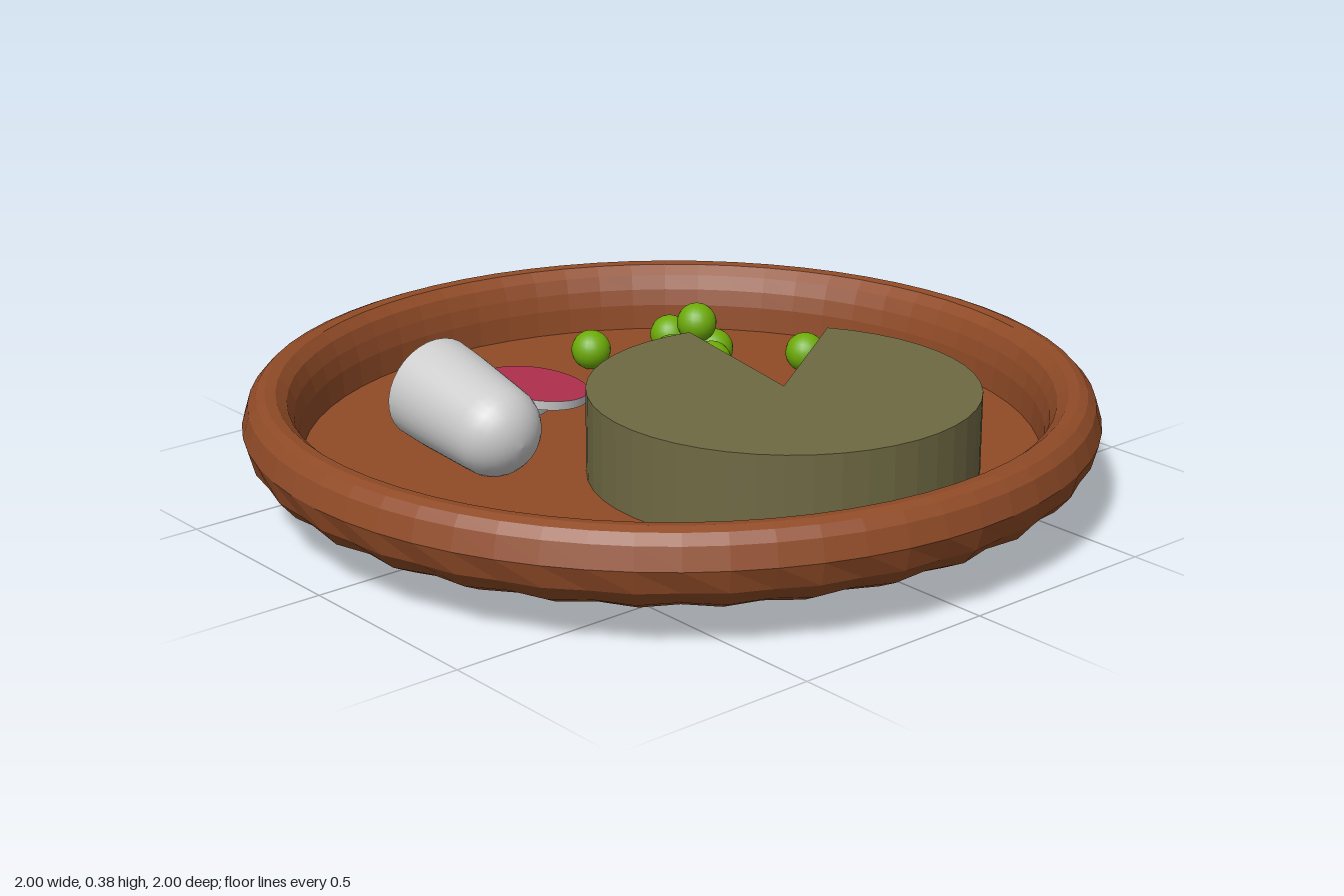
import * as THREE from 'three';

const FLOOR = 0.117;
const paint = (color, extra = {}) => new THREE.MeshStandardMaterial({ color, ...extra });
const v2 = (pairs) => pairs.map(([x, y]) => new THREE.Vector2(x, y));

function add(parent, name, geometry, material, x = 0, y = 0, z = 0) {
  const mesh = new THREE.Mesh(geometry, material);
  mesh.name = name;
  mesh.position.set(x, y, z);
  parent.add(mesh);
  return mesh;
}

// Round plate: plain rim and floor, with a gently fluted underside
function plateGeometry() {
  const segments = 64;
  const profile = v2([
    [0, 0], [0.3, 0.015], [0.6, 0.03], [0.8, 0.05], [0.89, 0.075], [0.95, 0.105], [0.985, 0.145],
    [1, 0.2], [0.985, 0.25], [0.965, 0.272], [0.945, 0.28], [0.92, 0.277],
    [0.895, 0.255], [0.88, 0.22], [0.87, 0.18], [0.865, FLOOR], [0, FLOOR],
  ]);
  const flute = [0, 0, 0.004, 0.015, 0.022, 0.02, 0.008]; // depth per lower ring
  const geometry = new THREE.LatheGeometry(profile, segments);
  const pos = geometry.attributes.position;
  for (let i = 0; i < pos.count; i++) {
    const depth = flute[i % profile.length];
    const column = Math.floor(i / profile.length);
    // every other column of the lower rings is drawn inward
    if (depth && column % 2) {
      pos.setX(i, pos.getX(i) * (1 - depth));
      pos.setZ(i, pos.getZ(i) * (1 - depth));
    }
  }
  geometry.computeVertexNormals();
  return geometry;
}

// Wheel of cheese with one wedge taken out
function cheeseWheel() {
  const cheese = new THREE.Group();
  cheese.name = 'cheeseWheel';
  const radius = 0.45, top = 0.32, height = top - FLOOR + 0.005;
  const start = Math.atan2(0.45, 0.1);          // left side of the gap
  const end = Math.atan2(0.25, 0.375) + Math.PI * 2; // right side of the gap
  const steps = 40;
  const points = [[0, 0]];
  for (let i = 0; i <= steps; i++) {
    const a = start + (end - start) * i / steps;
    points.push([radius * Math.cos(a), radius * Math.sin(a)]);
  }
  const rind = paint(0x6f6943, { flatShading: true });
  const cut = paint(0xb0a75a, { side: THREE.DoubleSide });
  const face = new THREE.ShapeGeometry(new THREE.Shape(v2(points)));
  face.rotateX(-Math.PI / 2);
  add(cheese, 'cheeseTop', face, rind, 0, height, 0);
  // cylinder angles run from +z towards +x
  add(cheese, 'cheeseRind', new THREE.CylinderGeometry(radius, radius, height, steps, 1, true,
    start + Math.PI / 2, end - start), rind, 0, height / 2, 0);
  for (const a of [start, end]) {
    const side = new THREE.PlaneGeometry(radius, height).translate(radius / 2, height / 2, 0);
    add(cheese, 'cheeseCutFace', side, cut).rotation.y = a;
  }
  cheese.position.set(0.065, top - height, 0.314);
  return cheese;
}

// Sausage end: tapered skin with a domed tip and a flat cut face
function sausageEnd(skin, meat) {
  const sausage = new THREE.Group();
  sausage.name = 'sausageEnd';
  const profile = v2([[0.125, 0], [0.122, 0.08], [0.11, 0.24]]);
  for (let i = 1; i <= 7; i++) {
    const a = i / 7 * Math.PI / 2;
    profile.push(new THREE.Vector2(Math.max(0, 0.11 * Math.cos(a)), 0.24 + 0.105 * Math.sin(a)));
  }
  add(sausage, 'sausageSkin', new THREE.LatheGeometry(profile, 32), skin);
  add(sausage, 'sausageCutFace', new THREE.CircleGeometry(0.125, 32), meat).rotation.x = Math.PI / 2;
  sausage.position.set(-0.438, 0.256, -0.348);
  sausage.rotation.x = Math.PI / 2 + 0.16; // tip points forward and down
  return sausage;
}

export function createModel() {
  const model = new THREE.Group();
  model.name = 'foodPlate';
  add(model, 'plate', plateGeometry(), paint(0x904b27, { flatShading: true }));
  model.add(cheeseWheel());

  const skin = paint(0xcccccc);
  const meat = paint(0xb2304e);
  model.add(sausageEnd(skin, meat));

  // Overlapping sausage slices
  const slice = new THREE.CylinderGeometry(0.13, 0.13, 0.022, 32);
  [[-0.29, 0.133, -0.467], [-0.19, 0.15, -0.432], [-0.1, 0.167, -0.395]].forEach(([x, y, z], i) => {
    const mesh = add(model, 'sausageSlice', slice, [skin, meat, meat], x, y, z);
    mesh.rotation.set(0.04 * i, 0, -0.06 * i);
  });

  // Peas, one resting on top of the others
  const pea = new THREE.SphereGeometry(0.05, 20, 14);
  const green = paint(0x6dab08);
  const spots = [[0.19, -0.537], [0.424, -0.505], [0.322, -0.376], [0.434, -0.345],
    [0.364, -0.273], [0.588, -0.17], [0.37, -0.337, 0.25]];
  for (const [x, z, y = 0.167] of spots) add(model, 'pea', pea, green, x, y, z);
  return model;
}
